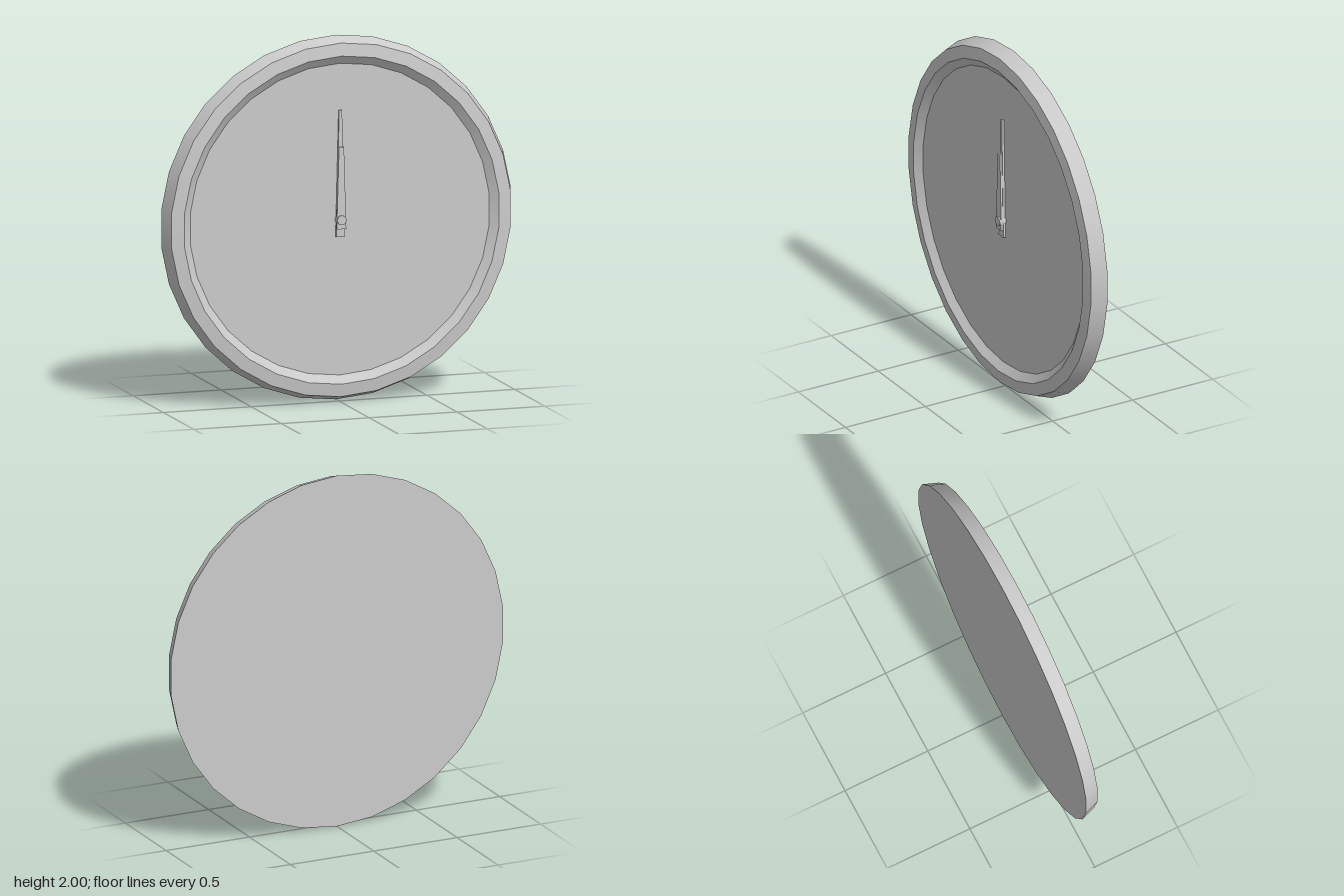
import * as THREE from 'three';

const SIDES = 30;

export function createModel() {
  const model = new THREE.Group();
  model.name = 'wallClock';
  const grey = new THREE.MeshStandardMaterial({ color: 0xcccccc });
  grey.name = 'lightGrey';

  const add = (name, geometry) => {
    const mesh = new THREE.Mesh(geometry, grey);
    mesh.name = name;
    mesh.position.y = 1;
    model.add(mesh);
  };

  // Case profile as [radius, z], from the centre of the back to the centre of the dial.
  // Each band is its own lathe: smooth around, sharp between bands.
  const profile = [[0, -0.05], [1, -0.05], [0.97, 0.035], [0.9, 0.045], [0.855, 0.012], [0, 0.012]];
  const names = ['backPlate', 'caseSide', 'bezelFront', 'bezelInside', 'dial'];
  names.forEach((name, i) => {
    const points = [profile[i], profile[i + 1]].map(([r, z]) => new THREE.Vector2(r, z));
    add(name, new THREE.LatheGeometry(points, SIDES).rotateX(Math.PI / 2));
  });

  // Tapered hand, measured from the clock centre
  const hand = (name, bottom, top, baseHalf, tipHalf, z, depth) => {
    const shape = new THREE.Shape([
      new THREE.Vector2(-baseHalf, bottom), new THREE.Vector2(baseHalf, bottom),
      new THREE.Vector2(tipHalf, top), new THREE.Vector2(-tipHalf, top),
    ]);
    add(name, new THREE.ExtrudeGeometry(shape, { depth, bevelEnabled: false }).translate(0, 0, z));
  };
  hand('minuteHand', -0.095, 0.6, 0.025, 0.008, 0.014, 0.013);
  hand('hourHand', -0.05, 0.4, 0.027, 0.014, 0.03, 0.012);

  // Pin holding the hands
  add('hub', new THREE.CylinderGeometry(0.026, 0.028, 0.038, 16).rotateX(Math.PI / 2).translate(0, 0, 0.031));

  return model;
}
